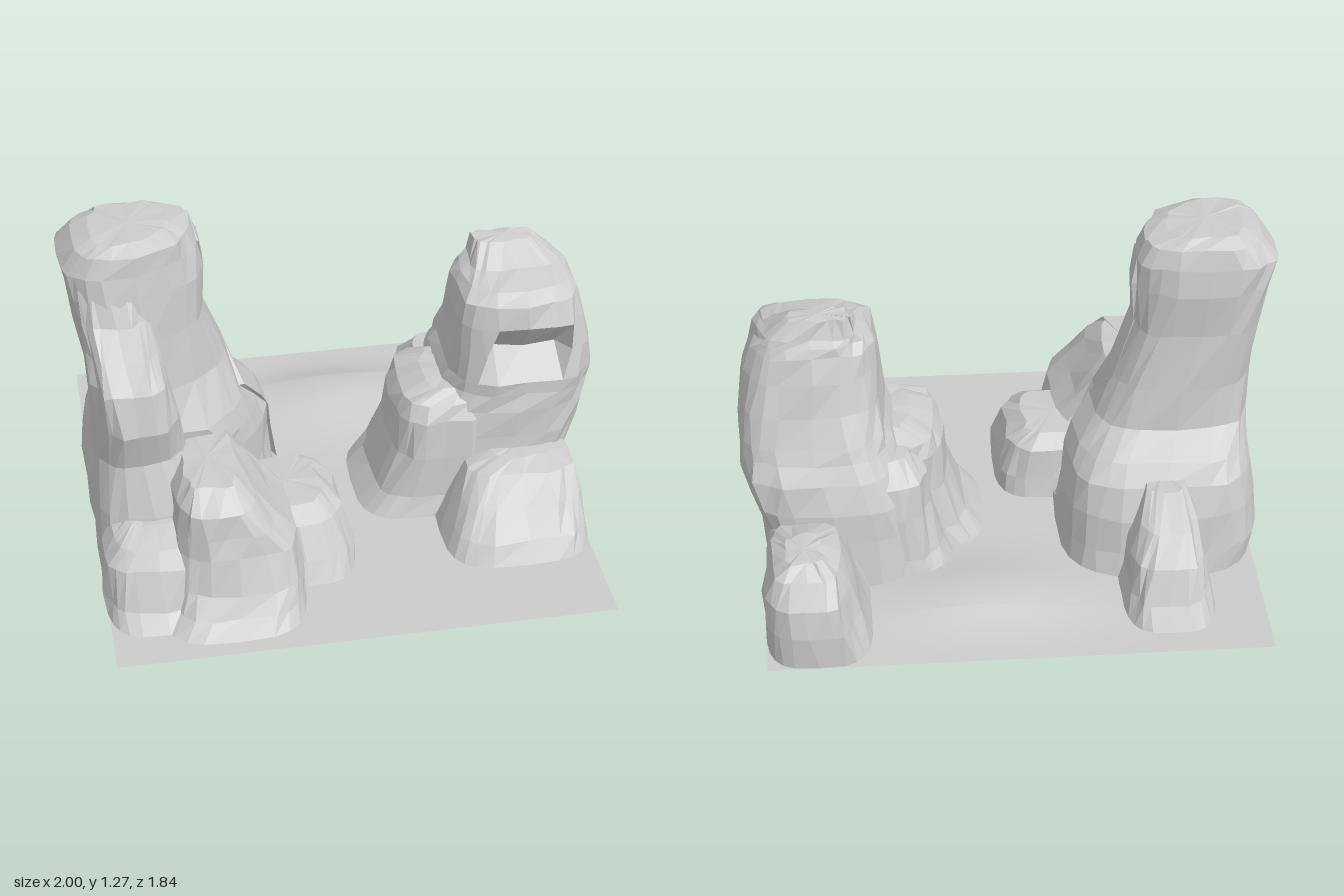
import * as THREE from 'three';

const SIDES = 24;
const SQUASH = 0.58; // roundness of the ring corners

// Each rock is a stack of rounded-box rings: [y, xMin, xMax, zMin, zMax]
const ROCKS = {
  tallTower: [
    [0, -.94, -.2, -.5, .3], [.1, -.95, -.21, -.48, .29], [.24, -.955, -.22, -.46, .28],
    [.36, -.935, -.24, -.43, .28], [.43, -.925, -.27, -.37, .27], [.52, -.92, -.34, -.28, .27],
    [.68, -.92, -.4, -.25, .26], [.9, -.95, -.48, -.235, .25], [1.07, -.98, -.47, -.23, .23],
    [1.17, -1, -.48, -.22, .21], [1.24, -.94, -.51, -.2, .2], [1.27, -.88, -.6, -.15, .14]],
  towerButtress: [
    [0, -.94, -.52, -.05, .52], [.3, -.93, -.54, -.05, .47], [.5, -.92, -.6, -.05, .42],
    [.66, -.91, -.62, -.05, .46], [.81, -.92, -.65, -.05, .43], [.9, -.93, -.67, -.05, .35],
    [1.0, -.94, -.69, -.05, .26], [1.12, -.95, -.72, -.05, .21]],
  towerSpur: [
    [0, -.75, -.4, -.82, -.25], [.08, -.72, -.42, -.77, -.25], [.2, -.7, -.44, -.71, -.25],
    [.3, -.68, -.47, -.62, -.25], [.38, -.65, -.5, -.47, -.25]],
  frontBoulder: [
    [0, -.76, -.2, .15, .86], [.05, -.72, -.2, .15, .8], [.12, -.7, -.2, .15, .75],
    [.25, -.68, -.22, .15, .7], [.33, -.67, -.3, .15, .685], [.42, -.66, -.37, .16, .67],
    [.49, -.62, -.43, .2, .58]],
  cornerBoulder: [
    [0, -.94, -.5, .2, .78], [.06, -.94, -.52, .2, .72], [.2, -.93, -.55, .2, .66],
    [.26, -.9, -.58, .21, .61], [.29, -.84, -.62, .24, .5]],
  innerBoulder: [
    [0, -.4, .02, .03, .6], [.08, -.4, .01, .04, .55], [.2, -.38, -.03, .07, .49],
    [.25, -.34, -.1, .12, .42]],
  broadTower: [
    [0, .32, .915, -.5, .28], [.2, .33, .925, -.47, .25], [.32, .36, .97, -.46, .24],
    [.43, .39, .99, -.43, .23], [.5, .42, 1, -.38, .22], [.55, .44, 1, -.36, .22],
    [.66, .46, .985, -.31, .21], [.78, .47, .96, -.27, .2], [.87, .48, .93, -.24, .18],
    [.905, .51, .91, -.22, .12], [.93, .54, .88, -.21, .02], [1.0, .57, .8, -.18, -.09]],
  towerShoulder: [
    [0, .08, .6, -.28, .27], [.08, .15, .6, -.26, .25], [.25, .22, .6, -.25, .24],
    [.4, .235, .6, -.24, .22], [.46, .26, .6, -.22, .19], [.5, .36, .6, -.16, .14]],
  backShoulder: [
    [0, .2, .7, -.46, .1], [.08, .25, .7, -.44, .1], [.25, .29, .7, -.42, .1],
    [.38, .3, .7, -.4, .1], [.46, .36, .7, -.33, .1]],
  frontMound: [
    [0, .36, .92, .1, .62], [.07, .39, .92, .1, .57], [.16, .43, .91, .1, .48],
    [.24, .48, .89, .1, .37], [.27, .58, .82, .12, .3]],
  backMound: [
    [0, .52, .915, -.92, -.35], [.13, .57, .915, -.92, -.35], [.24, .6, .91, -.9, -.37],
    [.32, .63, .88, -.84, -.48], [.36, .7, .82, -.78, -.6]],
};

const material = new THREE.MeshStandardMaterial({
  color: 0xcccccc, flatShading: true, side: THREE.DoubleSide,
});

// Repeatable small offset for a chiselled look
function wobble(a, b, c) {
  const s = Math.sin(a * 12.99 + b * 78.23 + c * 37.72) * 43758.55;
  return (s - Math.floor(s) - 0.5) * 0.022;
}

// Local carving of the front faces
const CARVE = {
  // Slanted front right corner, cut back further near the foot
  tallTower(x, y, z) {
    if (z < 0 || y < .05) return z;
    return y > .6 ? z - .4 * Math.max(0, x + .76) : z - .7 * Math.max(0, x + .5);
  },
  // Shallow alcove
  broadTower: (x, y, z) => (z > .1 && Math.abs(x - .725) < .15 && y > .6 && y < .7 ? z - .1 : z),
};

// True where a point is buried in any rock other than the one named
function buried(x, y, z, self) {
  return Object.entries(ROCKS).some(([name, rings]) => {
    const r = rings.findIndex(ring => ring[0] > y);
    if (name === self || r < 1) return false;
    const lo = rings[r - 1], hi = rings[r];
    const t = (y - lo[0]) / (hi[0] - lo[0]);
    const [, x0, x1, z0, z1] = lo.map((v, i) => v + (hi[i] - v) * t);
    const u = Math.abs((2 * x - x0 - x1) / (x1 - x0));
    const v = Math.abs((2 * z - z0 - z1) / (z1 - z0));
    return Math.pow(u, 2 / SQUASH) + Math.pow(v, 2 / SQUASH) < 0.97;
  });
}

// Flat-shaded mesh without the faces hidden inside other rocks
function meshFrom(name, points, indices) {
  const hidden = [];
  for (let i = 0; i < points.length; i += 3) {
    hidden.push(buried(points[i], name === 'ground' ? 0 : Math.max(0, points[i + 1]), points[i + 2], name));
  }
  const kept = [];
  for (let i = 0; i < indices.length; i += 3) {
    const face = indices.slice(i, i + 3);
    if (!face.every(v => hidden[v])) kept.push(...face);
  }
  const geo = new THREE.BufferGeometry();
  geo.setAttribute('position', new THREE.Float32BufferAttribute(points, 3));
  geo.setIndex(kept);
  const flat = geo.toNonIndexed();
  flat.computeVertexNormals();
  const mesh = new THREE.Mesh(flat, material);
  mesh.name = name;
  return mesh;
}

// Loft the rings and close the top, leaving the base open
function rock(name, rings, seed) {
  const points = [], indices = [];
  const squash = v => Math.sign(v) * Math.pow(Math.abs(v), SQUASH);
  const carve = CARVE[name] ?? ((x, y, z) => z);
  rings.forEach(([y, x0, x1, z0, z1], r) => {
    const k = r === 0 ? 0 : 1;
    for (let i = 0; i < SIDES; i++) {
      const a = (i / SIDES) * Math.PI * 2;
      const x = (x0 + x1) / 2 + (x1 - x0) / 2 * squash(Math.cos(a));
      const z = (z0 + z1) / 2 + (z1 - z0) / 2 * squash(Math.sin(a));
      points.push(
        THREE.MathUtils.clamp(x + k * wobble(i, r, seed), -1, 1),
        y + k * wobble(r, i, seed + 5) * 0.4,
        Math.max(-.92, carve(x, y, z) + k * wobble(i, seed, r)));
    }
  });
  for (let r = 0; r < rings.length - 1; r++) {
    for (let i = 0; i < SIDES; i++) {
      const j = (i + 1) % SIDES;
      const a = r * SIDES + i, b = r * SIDES + j;
      indices.push(a, a + SIDES, b, b, a + SIDES, b + SIDES);
    }
  }
  const [y, x0, x1, z0, z1] = rings[rings.length - 1];
  const top = (rings.length - 1) * SIDES;
  points.push((x0 + x1) / 2, y + .005, (z0 + z1) / 2);
  for (let i = 0; i < SIDES; i++) indices.push(top + SIDES, top + (i + 1) % SIDES, top + i);
  return meshFrom(name, points, indices);
}

// Gently rolling ground sheet with a low ridge, open beneath the rocks
function ground() {
  const N = 80, points = [], indices = [];
  for (let r = 0; r <= N; r++) {
    for (let c = 0; c <= N; c++) {
      const x = -.93 + 1.84 * c / N, z = -.92 + 1.84 * r / N;
      const swell = .06 * Math.exp(-((x - .12) ** 2) / .14 - ((z + .58) ** 2) / .05);
      const edge = Math.min(1, (.92 - Math.abs(z)) * 4);
      points.push(x, swell * edge, z);
    }
  }
  for (let r = 0; r < N; r++) {
    for (let c = 0; c < N; c++) {
      const a = r * (N + 1) + c, b = a + 1, d = a + N + 1, e = d + 1;
      indices.push(a, d, b, b, d, e);
    }
  }
  return meshFrom('ground', points, indices);
}

export function createModel() {
  const group = new THREE.Group();
  group.name = 'rockFormation';
  group.add(ground());
  Object.entries(ROCKS).forEach(([name, rings], i) => group.add(rock(name, rings, i + 1)));
  return group;
}
